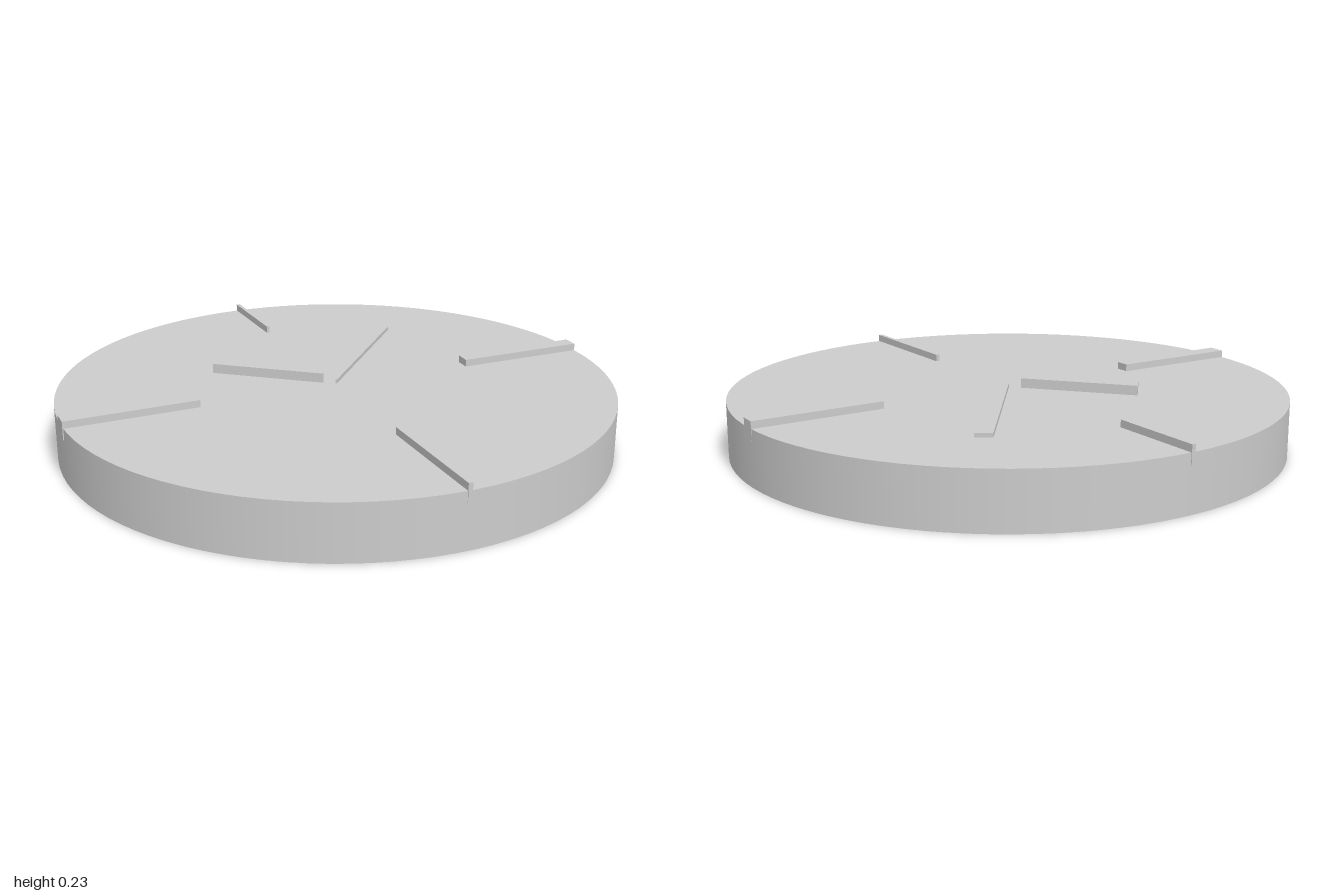
import * as THREE from 'three';

// Vertical prism from a plan outline of [x, z] points
function prism(name, outline, bottom, top, material) {
  const shape = new THREE.Shape(outline.map(([x, z]) => new THREE.Vector2(x, -z)));
  const geometry = new THREE.ExtrudeGeometry(shape, { depth: top - bottom, bevelEnabled: false });
  geometry.rotateX(-Math.PI / 2);
  geometry.translate(0, bottom, 0);
  const mesh = new THREE.Mesh(geometry, material);
  mesh.name = name;
  return mesh;
}

export function createModel() {
  const group = new THREE.Group();
  group.name = 'clock';
  const grey = new THREE.MeshStandardMaterial({ color: 0xcccccc });
  grey.name = 'light grey';

  // Round clock body lying flat
  const body = new THREE.Mesh(new THREE.CylinderGeometry(1, 1, 0.2, 96), grey);
  body.name = 'clockBody';
  body.position.y = 0.1;
  group.add(body);

  // Four hour markers, let into the rim
  const markers = [
    ['rightMarker', [[-0.985, -0.187], [-0.996, -0.121], [-0.52, -0.054], [-0.51, -0.107]]],
    ['leftMarker', [[0.52, 0.051], [0.51, 0.106], [0.984, 0.181], [0.993, 0.124]]],
    ['backMarker', [[0.135, -0.993], [0.088, -0.652], [0.098, -0.65], [0.149, -0.991]]],
    ['frontMarker', [[-0.096, 0.512], [-0.169, 0.987], [-0.154, 0.99], [-0.082, 0.514]]],
  ];
  for (const [name, outline] of markers) group.add(prism(name, outline, 0.16, 0.226, grey));

  // Tapered hands
  group.add(prism('hourHand', [[-0.035, -0.034], [-0.03, -0.037], [-0.257, -0.398], [-0.32, -0.343]], 0.195, 0.235, grey));
  group.add(prism('minuteHand', [[0, -0.004], [0.004, 0], [0.525, -0.424], [0.482, -0.468]], 0.195, 0.214, grey));

  return group;
}
